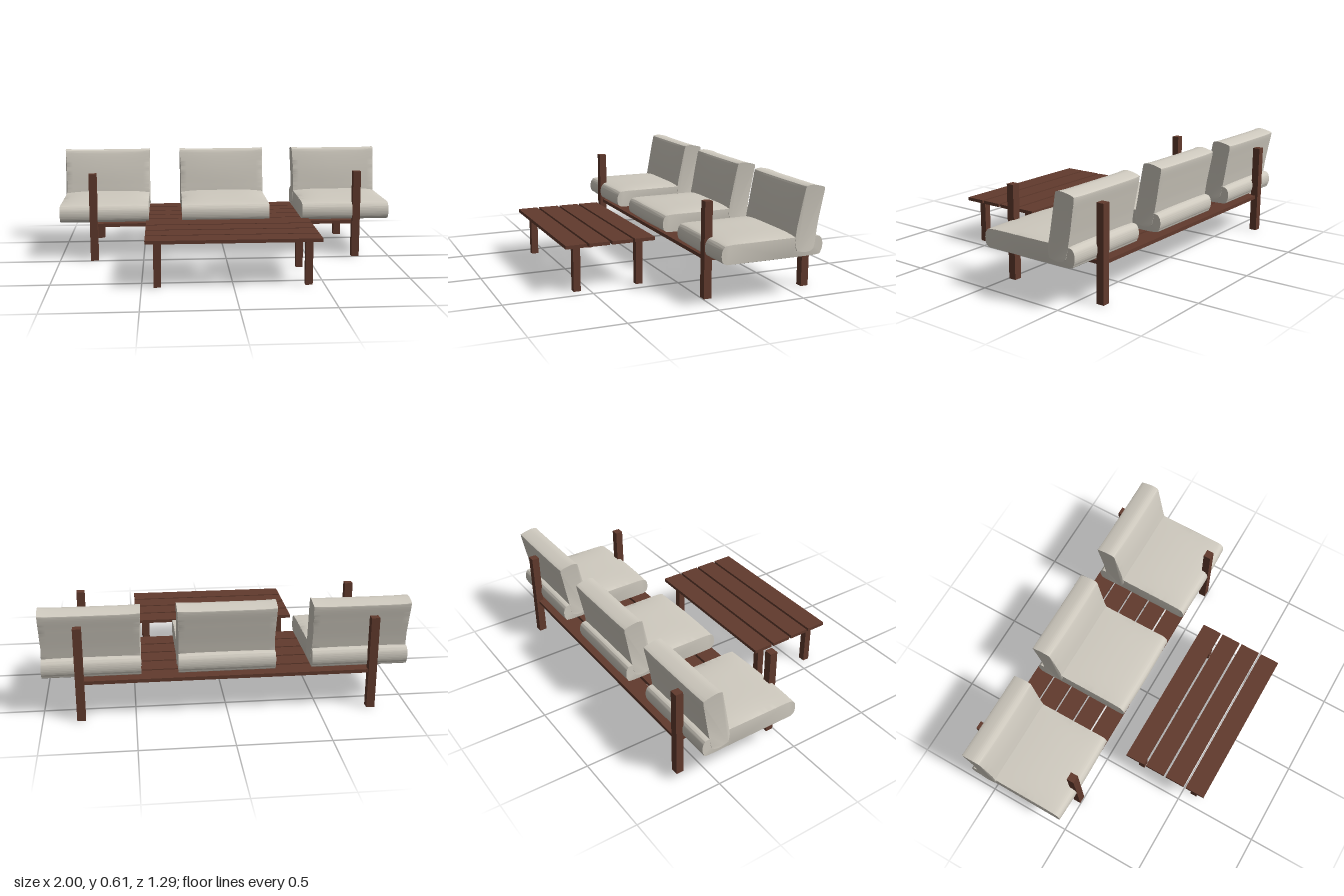
import * as THREE from 'three';
import { toCreasedNormals } from 'three/addons/utils/BufferGeometryUtils.js';

const wood = new THREE.MeshStandardMaterial({ color: 0x613a2d });
wood.name = 'dark wood';
const fabric = new THREE.MeshStandardMaterial({ color: 0xcfcabf });
fabric.name = 'light fabric';

// Box given by its lower and upper limits on each axis
function plank(name, [x0, x1], [y0, y1], [z0, z1]) {
  const mesh = new THREE.Mesh(new THREE.BoxGeometry(x1 - x0, y1 - y0, z1 - z0), wood);
  mesh.position.set((x0 + x1) / 2, (y0 + y1) / 2, (z0 + z1) / 2);
  mesh.name = name;
  return mesh;
}

// Side profile (depth behind the front, height) swept across x, then softened by a rule
function cushion(name, points, width, soften) {
  const [first, ...rest] = points.map(([d, y]) => new THREE.Vector2(d, y));
  const shape = new THREE.Shape().moveTo(first.x, first.y);
  shape.splineThru(rest);
  shape.closePath();
  const geo = new THREE.ExtrudeGeometry(shape, { depth: width, steps: 14, bevelEnabled: false, curveSegments: 44 });
  geo.translate(0, 0, -width / 2).rotateY(Math.PI / 2);
  const pos = geo.attributes.position;
  const v = new THREE.Vector3();
  for (let i = 0; i < pos.count; i++) {
    v.fromBufferAttribute(pos, i);
    soften(v, (2 * v.x) / width);
    pos.setXYZ(i, v.x, v.y, v.z);
  }
  const mesh = new THREE.Mesh(toCreasedNormals(geo, 0.7), fabric);
  mesh.name = name;
  return mesh;
}

const hump = (t) => Math.max(0, 4 * t * (1 - t));

function createSeat() {
  const group = new THREE.Group();
  group.name = 'seat';

  group.add(cushion('seatCushion', [
    [0.04, 0.231], [0.2, 0.229], [0.4, 0.229], [0.57, 0.232], [0.598, 0.25], [0.606, 0.285],
    [0.597, 0.32], [0.565, 0.334], [0.43, 0.335], [0.2, 0.335], [0.055, 0.332],
    [0.022, 0.318], [0.011, 0.285], [0.017, 0.247], [0.04, 0.231],
  ], 0.53, (v, u) => {
    const t = -v.z / 0.61;
    if (v.y > 0.3) v.y += 0.014 * (1 - u ** 4) * hump(t) * (v.y - 0.3) / 0.035;
    if (v.z > -0.06) v.z += 0.006 * (1 - u * u);
    v.x *= 1 - 0.015 * hump(t);
  }));

  group.add(cushion('backCushion', [
    [0.45, 0.262], [0.5, 0.253], [0.54, 0.262], [0.556, 0.29], [0.574, 0.4], [0.592, 0.5],
    [0.605, 0.575], [0.598, 0.59], [0.54, 0.604], [0.505, 0.602], [0.491, 0.588],
    [0.47, 0.5], [0.452, 0.4], [0.439, 0.31], [0.45, 0.262],
  ], 0.54, (v, u) => {
    const t = (v.y - 0.25) / 0.36;
    // The front face swells a little, the sides are drawn in
    const middle = 0.523 + (v.y - 0.43) * 0.18;
    if (-v.z < middle) v.z += 0.006 * (1 - u * u) * hump(t);
    if (v.y > 0.58) v.y += 0.004 * u ** 6;
    v.x *= 1 - 0.035 * hump(t);
  }));
  return group;
}

export function createModel() {
  const model = new THREE.Group();
  model.name = 'benchAndTable';

  // Bench platform
  const bench = new THREE.Group();
  bench.name = 'bench';
  for (let i = 0; i < 5; i++) {
    const z = -0.02 - i * 0.1243;
    bench.add(plank('benchSlat', [-0.8, 0.8], [0.204, 0.224], [z - 0.111, z]));
  }
  // Tall corner posts
  for (const x of [-0.794, 0.794]) {
    for (const z of [-0.0255, -0.6215]) {
      bench.add(plank('benchPost', [x - 0.023, x + 0.023], [0, 0.527], [z - 0.022, z + 0.022]));
    }
  }
  // Three seats with gaps between them
  for (const x of [-0.73, 0, 0.73]) {
    const seat = createSeat();
    seat.position.x = x;
    bench.add(seat);
  }
  model.add(bench);

  // Low table
  const table = new THREE.Group();
  table.name = 'table';
  for (let i = 0; i < 4; i++) {
    const z = 0.13 + i * 0.132;
    table.add(plank('tableSlat', [-0.478, 0.478], [0.254, 0.273], [z, z + 0.118]));
  }
  for (const x of [-0.414, 0.414]) {
    for (const z of [0.206, 0.569]) {
      table.add(plank('tableLeg', [x - 0.02, x + 0.02], [0, 0.255], [z - 0.02, z + 0.02]));
    }
  }
  model.add(table);
  return model;
}
